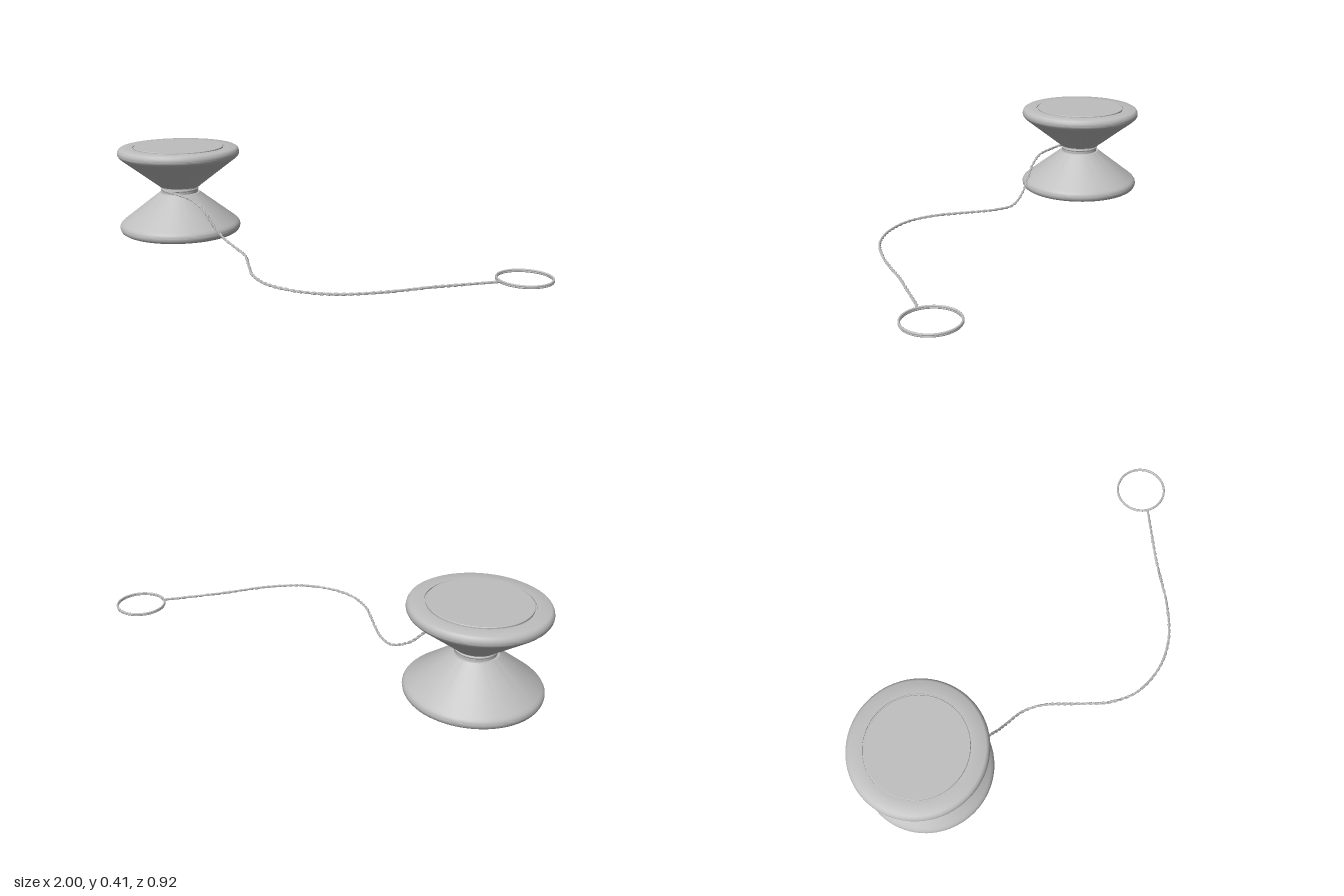
import * as THREE from 'three';
import { toCreasedNormals } from 'three/addons/utils/BufferGeometryUtils.js';

const CX = -0.715, CZ = 0.173, MID = 0.208;

export function createModel() {
  const model = new THREE.Group();
  const grey = new THREE.MeshStandardMaterial({ color: 0xbebebe });
  grey.name = 'light grey';

  const add = (name, geometry, parent = model) => {
    const mesh = new THREE.Mesh(geometry, grey);
    mesh.name = name;
    parent.add(mesh);
    return mesh;
  };

  // Flared half with a rounded rim and a grooved, slightly raised face
  const profile = [
    [0, 0.015], [0.096, 0.015], [0.1, 0.019], [0.272, 0.152], [0.281, 0.161],
    [0.286, 0.17], [0.287, 0.178], [0.285, 0.188], [0.28, 0.197], [0.272, 0.202],
    [0.217, 0.202], [0.217, 0.197], [0.211, 0.197], [0.211, 0.204], [0.209, 0.206], [0, 0.206],
  ].map(([r, h]) => new THREE.Vector2(r, h));
  const halfGeometry = toCreasedNormals(new THREE.LatheGeometry(profile, 72), 0.6);

  const spool = new THREE.Group();
  spool.name = 'spool';
  spool.position.set(CX, MID, CZ);
  model.add(spool);
  add('upperHalf', halfGeometry, spool);
  add('lowerHalf', halfGeometry, spool).rotation.x = Math.PI;
  add('axle', new THREE.CylinderGeometry(0.086, 0.086, 0.034, 48), spool);

  // String wrapped round the axle
  const wrap = add('stringWrap', new THREE.TorusGeometry(0.084, 0.006, 8, 64), spool);
  wrap.rotation.x = Math.PI / 2;
  wrap.position.y = 0.002;

  // Loose string: leaves the axle, drops to the ground and curves to the loop
  const path = new THREE.CatmullRomCurve3([
    [-0.715, 0.21, 0.26], [-0.6, 0.207, 0.263], [-0.5, 0.197, 0.26], [-0.435, 0.165, 0.25],
    [-0.385, 0.11, 0.241], [-0.33, 0.055, 0.227], [-0.24, 0.013, 0.215], [-0.15, 0.008, 0.243],
    [0, 0.008, 0.345], [0.1, 0.008, 0.41], [0.23, 0.008, 0.445], [0.38, 0.008, 0.415],
    [0.5, 0.008, 0.335], [0.6, 0.008, 0.2], [0.7, 0.008, 0], [0.78, 0.008, -0.14], [0.837, 0.008, -0.238],
  ].map((p) => new THREE.Vector3(...p)));

  // Two strands twisted round that path
  class Strand extends THREE.Curve {
    constructor(phase) {
      super();
      this.phase = phase;
    }
    getPoint(t, target = new THREE.Vector3()) {
      const tangent = path.getTangentAt(t);
      const side = new THREE.Vector3(0, 1, 0).cross(tangent).normalize();
      const up = tangent.clone().cross(side);
      const a = this.phase + t * Math.PI * 2 * 36;
      return target.copy(path.getPointAt(t))
        .addScaledVector(side, 0.0028 * Math.cos(a))
        .addScaledVector(up, 0.0028 * Math.sin(a));
    }
  }
  [0, Math.PI].forEach((phase, i) =>
    add('stringStrand' + (i + 1), new THREE.TubeGeometry(new Strand(phase), 500, 0.0038, 6)));

  // Finger loop lying on the ground, two strands deep
  [0.0045, 0.0105].forEach((y, i) => {
    const loop = add('fingerLoop' + (i + 1), new THREE.TorusGeometry(0.112, 0.0045, 8, 64));
    loop.rotation.x = Math.PI / 2;
    loop.position.set(0.88, y, -0.345);
  });

  return model;
}
